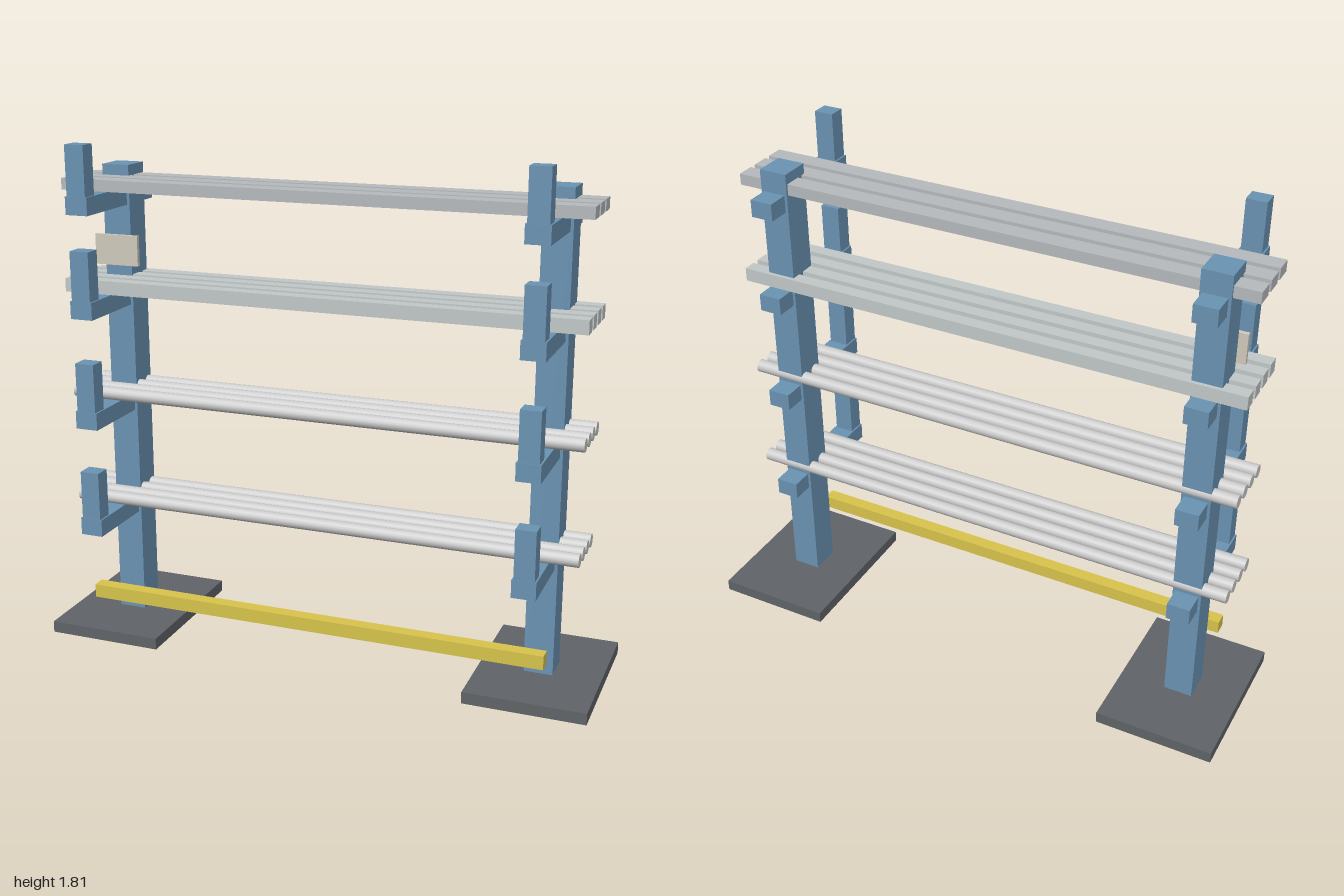
import * as THREE from 'three';

export function createModel() {
  const model = new THREE.Group();
  const mat = (color, flatShading = true) => new THREE.MeshStandardMaterial({ color, flatShading });
  const blue = mat(0x6a93b3);
  const dark = mat(0x606468);
  const yellow = mat(0xd8c44c);
  const beige = mat(0xd0cabc);
  const flatSteel = mat(0xb6babd);
  const squareSteel = mat(0xc2c8c8);
  const roundSteel = mat(0xc6c8ca, false);

  // Box given by its lower and upper limits on each axis
  function box(name, material, [x0, x1], [y0, y1], [z0, z1], parent = model) {
    const mesh = new THREE.Mesh(new THREE.BoxGeometry(x1 - x0, y1 - y0, z1 - z0), material);
    mesh.position.set((x0 + x1) / 2, (y0 + y1) / 2, (z0 + z1) / 2);
    mesh.name = name;
    parent.add(mesh);
  }
  const around = (centre, size) => [centre - size / 2, centre + size / 2];

  const armBottoms = [0.432, 0.828, 1.221, 1.579];
  const armHeight = 0.062;

  // Two uprights, each with a base plate and four cantilever arms
  for (const [side, x, baseX] of [['left', 0.783, 0.787], ['right', -0.789, -0.787]]) {
    const frame = new THREE.Group();
    frame.name = side + 'Frame';
    model.add(frame);
    box('basePlate', dark, around(baseX, 0.425), [0, 0.042], [-0.308, 0.262], frame);
    box('column', blue, around(x, 0.102), [0.042, 1.718], [-0.078, 0.032], frame);
    for (const y of armBottoms) {
      box('arm', blue, around(x, 0.082), [y, y + armHeight], [-0.158, 0.31], frame);
      box('armStop', blue, around(x, 0.07), [y + armHeight, y + 0.235], [0.247, 0.308], frame);
    }
  }

  const stockX = [-0.928, 0.925];

  // Round bars on the two lower levels
  const rodRadius = 0.0235;
  for (const y of armBottoms.slice(0, 2)) {
    for (const z of [0.133, 0.069, 0.005, -0.059]) {
      const rod = new THREE.Mesh(
        new THREE.CylinderGeometry(rodRadius, rodRadius, stockX[1] - stockX[0], 16), roundSteel);
      rod.rotation.z = Math.PI / 2;
      rod.position.set(0, y + armHeight + rodRadius + 0.001, z);
      rod.name = 'roundBar';
      model.add(rod);
    }
  }

  // Square bars on the third level
  const squareY = armBottoms[2] + armHeight;
  for (const z of [0.148, 0.076, 0.004, -0.068]) {
    box('squareBar', squareSteel, stockX, [squareY, squareY + 0.048], around(z, 0.048));
  }

  // Flat bars on the top level
  const flatY = armBottoms[3] + armHeight;
  for (const z of [0.134, 0.048, -0.038]) {
    box('flatBar', flatSteel, stockX, [flatY, flatY + 0.04], around(z, 0.064));
  }

  // Low guard rail in front and a small plate on the right column
  box('guardRail', yellow, [-0.842, 0.838], [0.147, 0.196], [0.166, 0.214]);
  box('signPlate', beige, [-0.872, -0.706], [1.364, 1.472], [0.032, 0.047]);

  return model;
}
